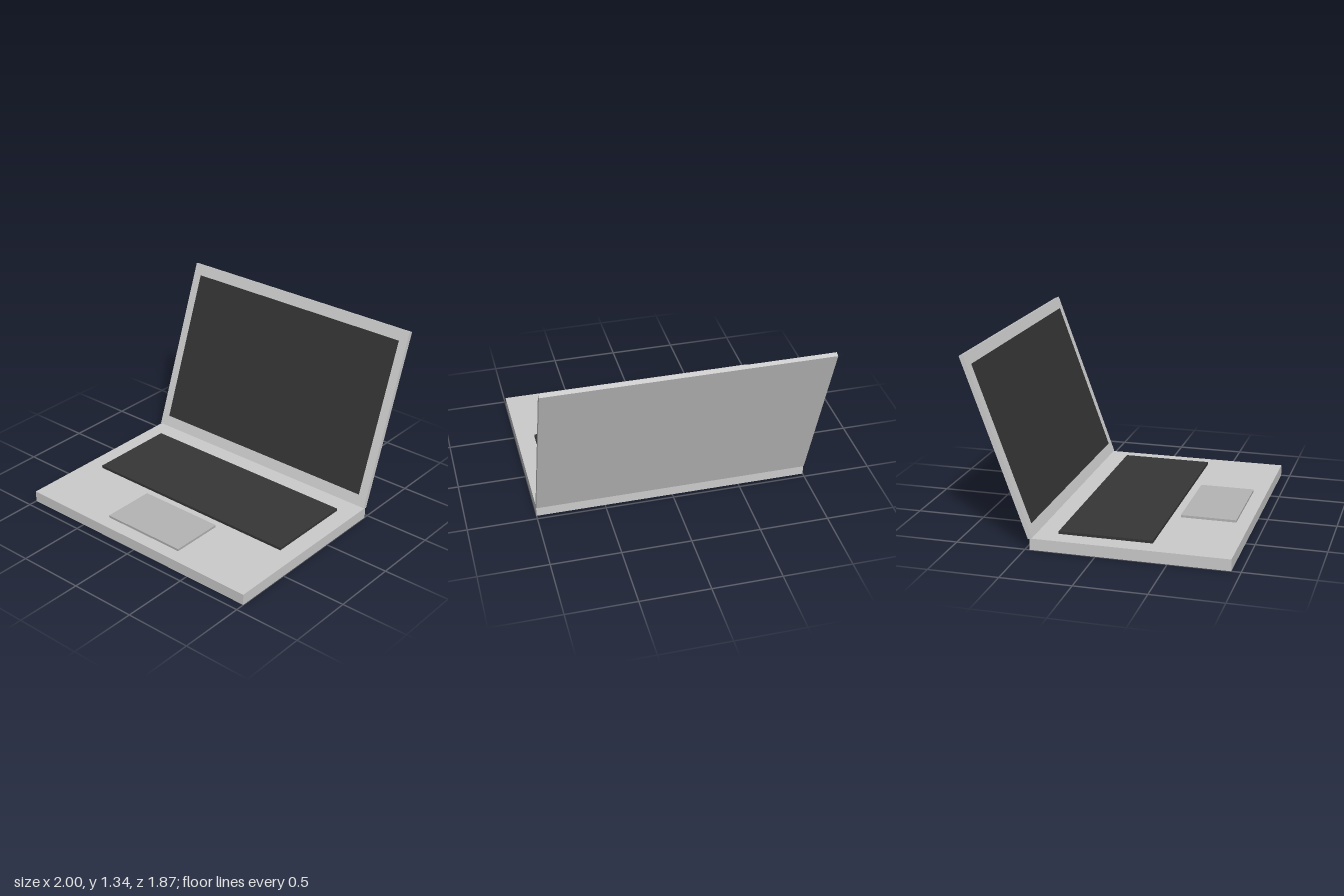
import * as THREE from 'three';

export function createModel() {
  const model = new THREE.Group();
  model.name = 'laptop';

  const grey = new THREE.MeshStandardMaterial({ color: 0xcccccc });
  const padGrey = new THREE.MeshStandardMaterial({ color: 0xb4b4b4 });
  const dark = new THREE.MeshStandardMaterial({ color: 0x363636 });
  const screenDark = new THREE.MeshStandardMaterial({ color: 0x333333 });

  // Adds a box whose underside rests at y = bottom
  function addSlab(parent, name, [w, h, d], bottom, z, material) {
    const mesh = new THREE.Mesh(new THREE.BoxGeometry(w, h, d), material);
    mesh.name = name;
    mesh.position.set(0, bottom + h / 2, z);
    parent.add(mesh);
    return mesh;
  }

  const baseHeight = 0.083;
  const baseZ = 0.233;

  // Lower body with raised keyboard and trackpad
  addSlab(model, 'base', [2, baseHeight, 1.4], 0, baseZ, grey);
  addSlab(model, 'keyboard', [1.733, 0.02, 0.667], baseHeight, baseZ - 0.2, dark);
  addSlab(model, 'trackpad', [0.667, 0.017, 0.4], baseHeight, baseZ + 0.4, padGrey);

  // Lid leaning back 20 degrees about the rear top edge of the base
  const lid = new THREE.Group();
  lid.name = 'lid';
  lid.position.set(0, baseHeight, -0.462);
  lid.rotation.x = THREE.MathUtils.degToRad(-20);
  model.add(lid);

  const lidHeight = 1.333;
  const lidThickness = 0.0333;
  addSlab(lid, 'lidPanel', [2, lidHeight, lidThickness], 0, 0, grey);

  // Display glass just proud of the lid's inner face
  const screen = new THREE.Mesh(new THREE.PlaneGeometry(1.867, 1.167), screenDark);
  screen.name = 'screen';
  screen.position.set(0, lidHeight / 2, lidThickness / 2 + 0.001);
  lid.add(screen);

  return model;
}
